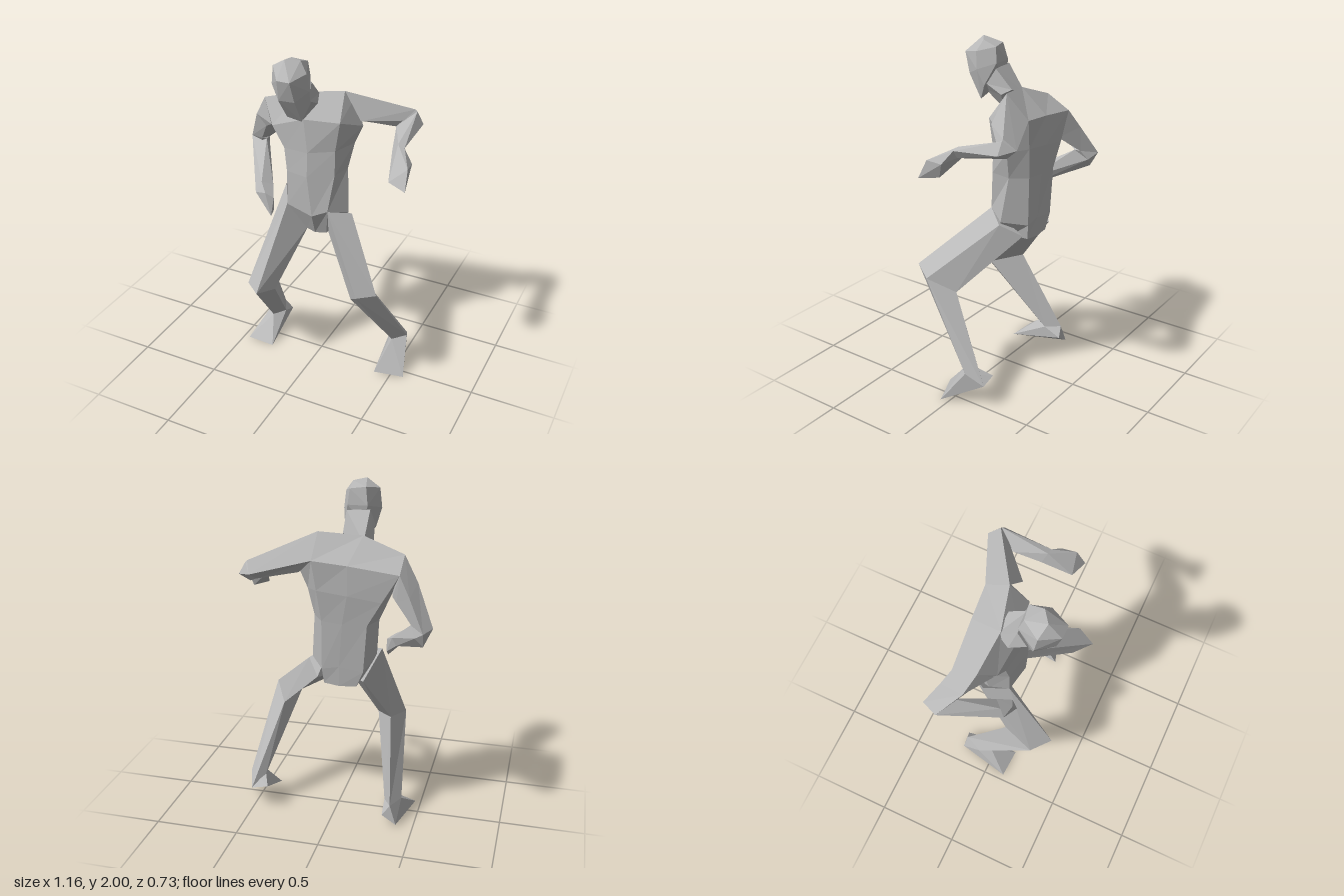
import * as THREE from 'three';
import { ConvexGeometry } from 'three/addons/geometries/ConvexGeometry.js';

const clay = new THREE.MeshStandardMaterial({ color: 0xb8b8b8, flatShading: true });
clay.name = 'grey clay';

// Skin a list of cross-sections (equal point counts); close the start, and the end unless it is a seam.
function loft(rings, closeEnd = true) {
  const n = rings[0].length, tris = [];
  const tri = (a, b, c) => tris.push([a, b, c]);
  for (let r = 0; r < rings.length - 1; r++) {
    for (let i = 0; i < n; i++) {
      const j = (i + 1) % n, a = rings[r], b = rings[r + 1];
      tri(a[i], a[j], b[j]);
      tri(a[i], b[j], b[i]);
    }
  }
  const end = rings[rings.length - 1];
  for (let i = 1; i < n - 1; i++) {
    tri(rings[0][0], rings[0][i + 1], rings[0][i]);
    if (closeEnd) tri(end[0], end[i], end[i + 1]);
  }
  // A negative volume means the section runs the other way round.
  let volume = 0;
  const v = p => new THREE.Vector3(...p);
  for (const [a, b, c] of tris) volume += v(a).dot(v(b).cross(v(c)));
  const pos = tris.flatMap(([a, b, c]) => (volume < 0 ? [a, c, b] : [a, b, c])).flat();
  const g = new THREE.BufferGeometry();
  g.setAttribute('position', new THREE.Float32BufferAttribute(pos, 3));
  g.computeVertexNormals();
  return g;
}

const hull = pts => new ConvexGeometry(pts.map(p => new THREE.Vector3(...p)));

export function createModel() {
  const model = new THREE.Group();
  model.name = 'figure';
  const add = (name, geometry, parent = model) => {
    const m = new THREE.Mesh(geometry, clay);
    m.name = name;
    parent.add(m);
  };

  // Torso sections: front right, centre, left, left side, back left, centre, right, right side
  const crotch = [[-.1, .865, 0], [-.04, .855, .01], [.03, .865, 0], [.05, .89, -.08],
    [.04, .89, -.19], [-.05, .88, -.195], [-.15, .885, -.19], [-.12, .88, -.08]];
  const hips = [[-.2, 1.03, .05], [-.03, 1.0, .075], [.06, 1.04, .05], [.14, 1.0, -.07],
    [.05, .98, -.2], [-.05, 1.0, -.2], [-.19, .98, -.195], [-.24, 1.03, -.06]];
  const waist = [[-.2, 1.25, .05], [-.06, 1.25, .075], [.09, 1.27, .02], [.115, 1.27, -.11],
    [.05, 1.27, -.205], [-.07, 1.26, -.21], [-.21, 1.26, -.2], [-.255, 1.26, -.08]];
  const chest = [[-.22, 1.39, .04], [-.06, 1.4, .065], [.09, 1.42, .015], [.15, 1.43, -.12],
    [.075, 1.45, -.22], [-.1, 1.43, -.22], [-.29, 1.4, -.2], [-.32, 1.41, -.08]];
  const shoulders = [[-.3, 1.51, .03], [-.085, 1.6, .06], [.12, 1.6, .02], [.195, 1.54, -.13],
    [.1, 1.62, -.23], [-.1, 1.6, -.215], [-.385, 1.56, -.19], [-.36, 1.5, -.08]];
  // The top closes along one ridge line across the shoulders
  const right = [-.385, 1.64, -.045], mid = [-.145, 1.725, -.02], left = [.1, 1.75, -.085];
  const ridge = [right, mid, left, [.14, 1.7, -.13], left, mid, right, right];
  add('torso', loft([crotch, hips, waist, chest, shoulders, ridge], false));

  // Neck leans forward into the head
  add('neck', loft([
    [[-.15, 1.69, -.04], [-.03, 1.735, -.03], [-.01, 1.7, .03], [-.085, 1.6, .06], [-.19, 1.67, .04]],
    [[-.16, 1.85, .08], [-.025, 1.84, .075], [-.01, 1.75, .13], [-.06, 1.7, .17], [-.175, 1.76, .14]],
  ]));

  // Head: crown, brow, cheeks, jaw
  add('head', hull([
    [-.11, 2, .22], [-.04, 1.99, .17], [-.13, 1.97, .1], [-.04, 1.96, .085],
    [-.19, 1.95, .2], [.005, 1.93, .19], [-.115, 1.91, .3], [-.04, 1.91, .3],
    [-.205, 1.84, .19], [.015, 1.83, .18], [-.12, 1.79, .275], [-.03, 1.79, .265],
    [-.145, 1.87, .075], [-.03, 1.87, .075], [-.175, 1.73, .17], [0, 1.74, .14],
    [-.03, 1.65, .185], [-.11, 1.67, .2], [-.12, 1.76, .085],
  ]));

  // Arm sections: shoulder, elbow, wrist, fingertips
  const arms = {
    left: {
      shoulder: [[.1, 1.75, -.085], [.1, 1.62, -.23], [.18, 1.54, -.19], [.21, 1.6, -.06]],
      elbow: [[.44, 1.62, -.3], [.41, 1.56, -.365], [.4, 1.51, -.27], [.41, 1.57, -.24]],
      bend: [[.45, 1.61, -.3], [.49, 1.54, -.3], [.42, 1.51, -.31], [.37, 1.55, -.19]],
      wrist: [[.45, 1.53, -.02], [.49, 1.515, -.015], [.46, 1.465, 0], [.41, 1.48, -.04]],
      hand: [[.56, 1.46, .11], [.57, 1.35, .165], [.46, 1.37, .13], [.53, 1.365, .05], [.55, 1.45, .02]],
    },
    right: {
      shoulder: [[-.31, 1.51, .02], [-.385, 1.64, -.045], [-.385, 1.56, -.19], [-.33, 1.41, -.1]],
      upper: [[-.39, 1.45, -.06], [-.47, 1.5, -.09], [-.45, 1.45, -.235], [-.36, 1.39, -.14]],
      elbow: [[-.48, 1.31, -.16], [-.58, 1.285, -.215], [-.54, 1.28, -.31], [-.465, 1.295, -.23]],
      bend: [[-.465, 1.295, -.19], [-.58, 1.285, -.215], [-.535, 1.19, -.26], [-.49, 1.24, -.27]],
      wrist: [[-.31, 1.12, .02], [-.36, 1.15, .07], [-.385, 1.09, .1], [-.34, 1.08, 0]],
      hand: [[-.265, 1.08, .1], [-.31, 1.11, .12], [-.27, .97, .13], [-.265, 1.0, .1]],
    },
  };
  for (const [side, a] of Object.entries(arms)) {
    const arm = new THREE.Group();
    arm.name = side + 'Arm';
    model.add(arm);
    add('upperArm', loft(a.upper ? [a.shoulder, a.upper, a.elbow] : [a.shoulder, a.elbow]), arm);
    add('elbow', hull([...a.elbow, ...a.bend]), arm);
    add('forearm', loft([a.bend, a.wrist]), arm);
    add('hand', hull([...a.wrist, ...a.hand]), arm);
  }

  // Leg sections: front, outer, back, inner; the foot runs from ankle to sole
  const legs = {
    left: {
      hip: [[.06, 1.04, .05], [.16, .99, -.075], [.08, .92, -.185], [.03, .87, -.02]],
      knee: [[.38, .72, .35], [.455, .685, .23], [.37, .605, .08], [.305, .63, .25]],
      ankle: [[.46, .19, -.04], [.535, .205, -.1], [.5, .14, -.205], [.435, .2, -.12]],
      sole: [[.578, 0, .05], [.41, .025, .11], [.4, .16, -.2]],
    },
    right: {
      hip: [[-.2, 1.04, .05], [-.275, 1.09, -.08], [-.19, .92, -.19], [-.1, .865, -.02]],
      knee: [[-.255, .56, .36], [-.365, .55, .265], [-.305, .59, .07], [-.195, .54, .24]],
      ankle: [[-.36, .125, -.02], [-.41, .13, -.08], [-.36, .13, -.19], [-.31, .12, -.1]],
      sole: [[-.465, 0, .12], [-.29, 0, .13], [-.4, .015, -.205], [-.315, .07, -.205]],
    },
  };
  for (const [side, l] of Object.entries(legs)) {
    const leg = new THREE.Group();
    leg.name = side + 'Leg';
    model.add(leg);
    add('thigh', loft([l.hip, l.knee]), leg);
    add('shin', loft([l.knee, l.ankle]), leg);
    add('foot', hull([...l.ankle, ...l.sole]), leg);
  }
  return model;
}
